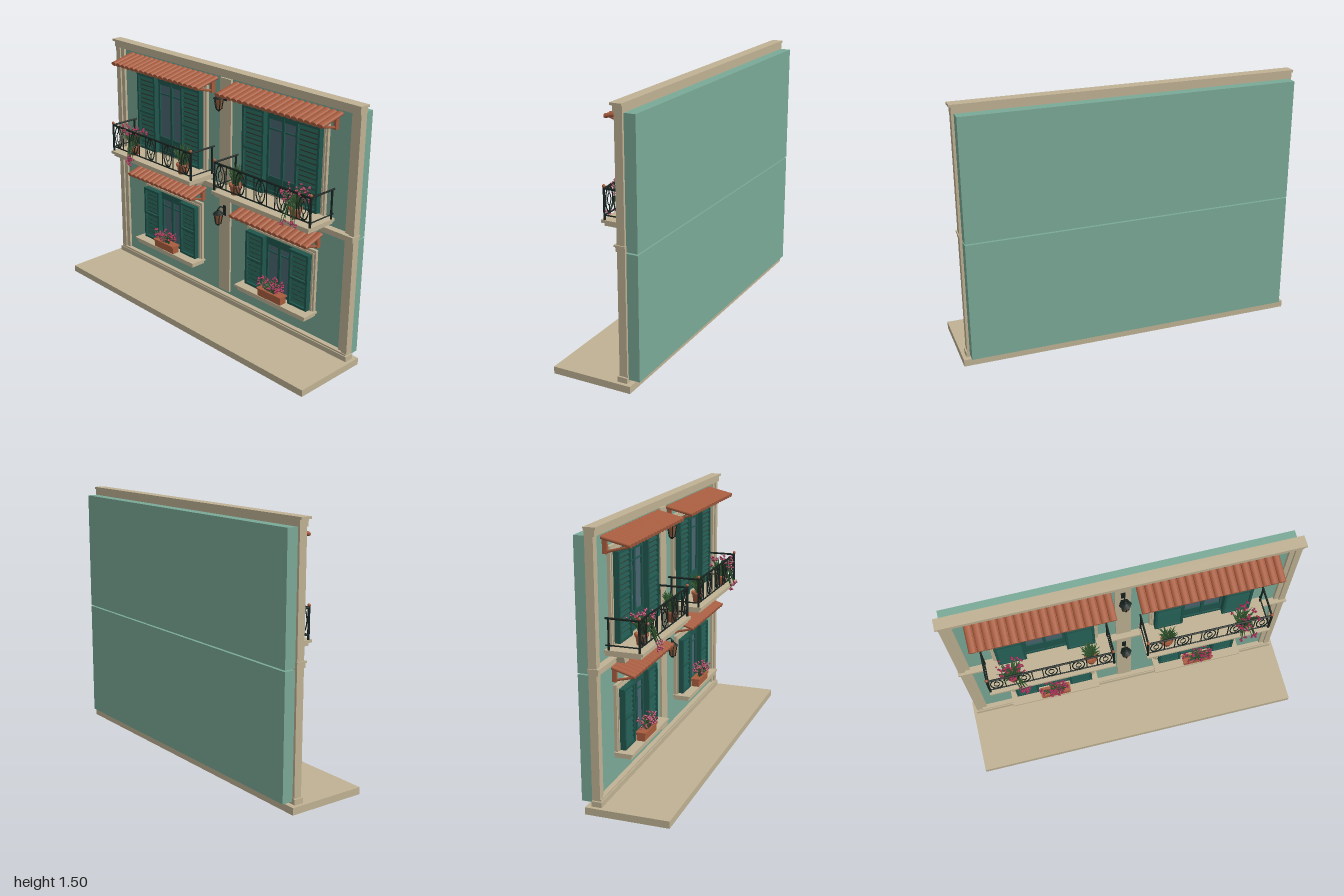
import * as THREE from 'three';
import { mergeGeometries } from 'three/addons/utils/BufferGeometryUtils.js';

const mat = (name, color, side = THREE.FrontSide) => Object.assign(new THREE.MeshStandardMaterial({ color, side }), { name });
const M = {
  wall: mat('green plaster', 0x7aa997), stone: mat('sandstone', 0xbfb193),
  clay: mat('terracotta', 0xa85c3e), teal: mat('teal paint', 0x1f564d),
  gap: mat('louvre shade', 0x3d3a31), iron: mat('wrought iron', 0x18231f),
  glass: mat('window glass', 0x4a6470), pink: mat('petals', 0xa82f58),
  leaf: mat('leaves', 0x31572f), amber: mat('lantern glass', 0x8f5b3c),
};
const V = (x, y, z) => new THREE.Vector3(x, y, z);
const UP = V(0, 1, 0);

function group(name, parent) {
  const g = new THREE.Group();
  g.name = name;
  parent.add(g);
  return g;
}
function add(parent, name, geo, material) {
  const m = new THREE.Mesh(geo, material);
  m.name = name;
  parent.add(m);
  return m;
}
// Box given by its extents
function box(parent, name, material, x0, x1, y0, y1, z0, z1) {
  const g = new THREE.BoxGeometry(x1 - x0, y1 - y0, z1 - z0);
  g.translate((x0 + x1) / 2, (y0 + y1) / 2, (z0 + z1) / 2);
  return add(parent, name, g, material);
}
// Tapered rod geometry between two points
function rod(a, b, r0, r1 = r0, sides = 6) {
  const d = b.clone().sub(a);
  const g = new THREE.CylinderGeometry(r1, r0, d.length(), sides);
  g.applyQuaternion(new THREE.Quaternion().setFromUnitVectors(UP, d.normalize()));
  return g.translate((a.x + b.x) / 2, (a.y + b.y) / 2, (a.z + b.z) / 2);
}
// Four bars around a rectangle
function frame(parent, name, material, x0, x1, y0, y1, w, z0, z1) {
  box(parent, name, material, x0, x0 + w, y0, y1, z0, z1);
  box(parent, name, material, x1 - w, x1, y0, y1, z0, z1);
  box(parent, name, material, x0 + w, x1 - w, y1 - w, y1, z0, z1);
  box(parent, name, material, x0 + w, x1 - w, y0, y0 + w, z0, z1);
}
function seeded(seed) {
  return () => (seed = (seed * 16807) % 2147483647) / 2147483647;
}

// Louvred shutter
function shutter(parent, x0, x1, y0, y1) {
  const g = group('shutter', parent), w = 0.014;
  frame(g, 'shutterFrame', M.teal, x0, x1, y0, y1, w, -0.145, -0.11);
  box(g, 'shutterBack', M.gap, x0 + w, x1 - w, y0 + w, y1 - w, -0.142, -0.128);
  const n = Math.round((y1 - y0) / 0.03), step = (y1 - y0 - 2 * w) / n;
  for (let i = 0; i < n; i++) {
    const s = add(g, 'louvre', new THREE.BoxGeometry(x1 - x0 - 2 * w, step * 0.7, 0.004), M.teal);
    s.position.set((x0 + x1) / 2, y0 + w + (i + 0.5) * step, -0.121);
    s.rotation.x = -0.5;
  }
  const mid = (y0 + y1) / 2;
  box(g, 'shutterRail', M.teal, x0 + w, x1 - w, mid - 0.007, mid + 0.007, -0.13, -0.111);
}

// Window or balcony door with surround, glazing and shutters
function opening(parent, name, { hw, y0, y1, gw, panel, transom }) {
  const g = group(name, parent);
  frame(g, 'stoneSurround', M.stone, -hw - 0.024, hw + 0.024, y0 - 0.015, y1 + 0.03, 0.032, -0.17, -0.147);
  frame(g, 'stoneMoulding', M.stone, -hw - 0.012, hw + 0.012, y0 - 0.01, y1 + 0.014, 0.012, -0.15, -0.142);
  box(g, 'glass', M.glass, -gw, gw, y0, y1, -0.17, -0.152);
  frame(g, 'sash', M.teal, -hw, hw, y0, y1, 0.02, -0.16, -0.138);
  for (const s of [-1, 1]) {
    const a = s * gw, b = s * hw;
    shutter(g, Math.min(a, b), Math.max(a, b), y0, y1);
    box(g, 'stile', M.teal, Math.min(a, a - s * 0.014), Math.max(a, a - s * 0.014), y0, y1, -0.16, -0.142);
  }
  box(g, 'mullion', M.teal, -0.009, 0.009, y0, y1, -0.16, -0.14);
  box(g, 'transom', M.teal, -gw, gw, transom - 0.004, transom + 0.004, -0.16, -0.145);
  box(g, 'headRail', M.teal, -gw, gw, y1 - 0.045, y1, -0.16, -0.142);
  if (panel) box(g, 'doorPanel', M.teal, -gw, gw, y0, panel, -0.16, -0.144);
}

// Sloping tiled canopy on wooden struts
function canopy(parent, hw, tiles, zf, yf, yb, yStrut, xs) {
  const g = group('canopy', parent), zb = -0.16;
  const len = Math.hypot(zb - zf, yb - yf), tilt = Math.atan2(yb - yf, zf - zb);
  const roof = group('tileRoof', g);
  roof.position.set(0, (yf + yb) / 2, (zf + zb) / 2);
  roof.rotation.x = tilt;
  add(roof, 'roofBoard', new THREE.BoxGeometry(2 * hw - 0.01, 0.006, len), M.clay).position.y = -0.004;
  const r = hw / tiles;
  for (let i = 0; i < tiles; i++) {
    const t = add(roof, 'tile', new THREE.CylinderGeometry(r * 0.94, r * 0.94, len, 12).rotateX(Math.PI / 2).scale(1, 0.6, 1), M.clay);
    t.position.x = -hw + r * (2 * i + 1);
  }
  for (const s of [-1, 1]) {
    add(g, 'strut', rod(V(s * xs, yStrut, -0.15), V(s * xs, yf - 0.008, zf - 0.012), 0.007, 0.007, 4), M.clay);
    box(g, 'wallPost', M.clay, s * xs - 0.008, s * xs + 0.008, yStrut - 0.01, yb - 0.01, -0.166, -0.14);
  }
}

// Fan of leaves with optional blossoms
function plant(parent, name, { x, y, z, sx, up, sz, n, flowers, trail = 0, seed }) {
  const g = group(name, parent), rnd = seeded(seed), leaves = [], petals = [];
  g.position.set(x, y, z);
  for (let i = 0; i < n; i++) {
    const a = rnd() * Math.PI * 2, k = Math.sqrt(rnd());
    const root = V((rnd() - 0.5) * sx * 0.8, 0, (rnd() - 0.5) * 0.02);
    const tip = V(Math.cos(a) * k * sx, up * (0.45 + 0.55 * rnd()), Math.sin(a) * k * sz);
    if (i < trail) tip.set((rnd() - 0.3) * sx * 1.2, -0.04 - rnd() * 0.05, sz * (0.9 + rnd() * 0.2));
    const mid = root.clone().lerp(tip, 0.55).add(V(0, i < trail ? 0.07 : 0.01, 0));
    leaves.push(rod(root, mid, 0.0015, 0.005, 4), rod(mid, tip, 0.005, 0.0008, 4));
    if (i < flowers) for (let j = 0; j < 3; j++) {
      petals.push(new THREE.OctahedronGeometry(0.0055 + rnd() * 0.003)
        .translate(tip.x + (rnd() - 0.5) * 0.018, tip.y + (rnd() - 0.5) * 0.018, tip.z + (rnd() - 0.5) * 0.018));
    }
  }
  add(g, 'foliage', mergeGeometries(leaves), M.leaf);
  if (petals.length) add(g, 'blossoms', mergeGeometries(petals), M.pink);
}
function pot(parent, x, z) {
  const pts = [[0, 0], [0.026, 0], [0.033, 0.048], [0.038, 0.048], [0.038, 0.062], [0.031, 0.062], [0.03, 0.054], [0, 0.054]];
  add(parent, 'flowerPot', new THREE.LatheGeometry(pts.map(p => new THREE.Vector2(...p)), 16), M.clay).position.set(x, 0.842, z);
}

// Balcony slab, brackets and iron railing
function balcony(parent) {
  const g = group('balcony', parent), hw = 0.365, zf = 0.027, top = 1.01, low = 0.868;
  box(g, 'balconySlab', M.stone, -hw, hw, 0.826, 0.842, -0.17, 0.046);
  box(g, 'slabMoulding', M.stone, -hw + 0.012, hw - 0.012, 0.808, 0.826, -0.17, 0.032);
  for (const s of [-1, 1]) {
    const shape = new THREE.Shape([[-0.045, 0.808], [-0.026, 0.755], [0.026, 0.755], [0.045, 0.808]].map(p => new THREE.Vector2(...p)));
    add(g, 'bracket', new THREE.ExtrudeGeometry(shape, { depth: 0.08, bevelEnabled: false }), M.stone).position.set(s * 0.26, 0, -0.165);
  }
  const bars = [], bar = (x0, y0, z0, x1, y1, z1, r) => bars.push(rod(V(x0, y0, z0), V(x1, y1, z1), r));
  const px = hw - 0.007;
  for (const [y, r] of [[top, 0.006], [low, 0.004]]) {
    bar(-px, y, zf, px, y, zf, r);
    for (const s of [-1, 1]) bar(s * px, y, zf, s * px, y, -0.16, r);
  }
  for (const s of [-1, 1]) {
    bar(s * px, 0.842, zf, s * px, top + 0.008, zf, 0.007);
    bar(s * px, 0.842, -0.142, s * px, top, -0.142, 0.006);
    add(g, 'finial', new THREE.SphereGeometry(0.009, 10, 8), M.clay).position.set(s * px, top + 0.013, zf);
  }
  // Oval rings with small collars, framed by upright bars
  for (let i = -2; i <= 2; i++) {
    const x = i * 0.155, cy = (top + low) / 2;
    for (const [rx, ry] of [[0.034, 0.066], [0.015, 0.032]])
      bars.push(new THREE.TorusGeometry(1, 0.09, 5, 20).scale(rx, ry, 0.035).translate(x, cy, zf));
    for (const s of [-1, 1]) {
      bar(x + s * 0.047, low, zf, x + s * 0.047, top, zf, 0.003);
      bar(x, cy + s * 0.032, zf, x, cy + s * 0.07, zf, 0.003);
    }
  }
  add(g, 'ironRailing', mergeGeometries(bars), M.iron);
}

// Wall lantern on a curved arm
function lantern(parent, y) {
  const g = group('lantern', parent), sq = Math.PI / 6;
  g.position.set(0, y, -0.1);
  add(g, 'lanternGlass', new THREE.CylinderGeometry(0.027, 0.016, 0.062, 6).rotateY(sq), M.amber).position.y = -0.01;
  add(g, 'lanternRoof', new THREE.CylinderGeometry(0.008, 0.035, 0.022, 6).rotateY(sq), M.iron).position.y = 0.032;
  add(g, 'lanternCap', new THREE.SphereGeometry(0.009, 8, 6), M.iron).position.y = 0.046;
  add(g, 'lanternFoot', new THREE.CylinderGeometry(0.018, 0.007, 0.014, 6).rotateY(sq), M.iron).position.y = -0.047;
  const ribs = [];
  for (let i = 0; i < 6; i++) {
    const a = i * Math.PI / 3 + sq, c = Math.cos(a), s = Math.sin(a);
    ribs.push(rod(V(c * 0.017, -0.042, s * 0.017), V(c * 0.028, 0.022, s * 0.028), 0.003));
  }
  add(g, 'lanternRibs', mergeGeometries(ribs), M.iron);
  const arm = new THREE.CatmullRomCurve3([V(0, 0.045, 0), V(0, 0.062, -0.012), V(0, 0.055, -0.03), V(0, 0.03, -0.055)]);
  add(g, 'lanternArm', new THREE.TubeGeometry(arm, 12, 0.004, 6), M.iron);
  box(g, 'lanternPlate', M.iron, -0.012, 0.012, -0.005, 0.06, -0.06, -0.05);
}

export function createModel() {
  const root = new THREE.Group();
  root.name = 'townhouseFacade';

  // Pavement, wall panels and stone framework
  box(root, 'pavement', M.stone, -1, 1, 0, 0.04, -0.215, 0.25);
  box(root, 'lowerWall', M.wall, -0.96, 0.96, 0.055, 0.748, -0.25, -0.165);
  box(root, 'upperWall', M.wall, -0.96, 0.96, 0.756, 1.455, -0.25, -0.165);
  for (const [y0, y1, hw, z] of [[0.04, 0.07, 0.98, -0.13], [0.07, 0.08, 0.97, -0.136], [0.755, 0.78, 0.975, -0.132],
    [0.78, 0.79, 0.98, -0.125], [1.455, 1.49, 0.975, -0.132], [1.49, 1.503, 0.985, -0.122]])
    box(root, 'stoneBand', M.stone, -hw, hw, y0, y1, -0.187, z);
  for (const s of [-1, 1]) {
    const p = box(root, 'cornerPilaster', M.stone, -0.018, 0.018, 0.08, 1.455, -0.185, -0.14);
    p.position.x = s * 0.956;
    box(root, 'pilasterStep', M.stone, -0.016, 0.016, 0.08, 1.455, -0.185, -0.15).position.x = s * 0.925;
  }
  box(root, 'lowerPilaster', M.stone, -0.045, 0.045, 0.1, 0.735, -0.17, -0.152);
  box(root, 'upperPilaster', M.stone, -0.045, 0.045, 0.805, 1.44, -0.17, -0.152);
  lantern(root, 1.315);
  lantern(root, 0.605);

  // Two matching bays
  for (const s of [-1, 1]) {
    const bay = group(s > 0 ? 'leftBay' : 'rightBay', root);
    bay.position.x = s * 0.457;
    opening(bay, 'balconyDoor', { hw: 0.282, y0: 0.855, y1: 1.337, gw: 0.117, panel: 0.96, transom: 1.235 });
    canopy(bay, 0.392, 18, -0.002, 1.392, 1.428, 1.348, 0.352);
    balcony(bay);
    opening(bay, 'lowerWindow', { hw: 0.24, y0: 0.245, y1: 0.588, gw: 0.1, transom: 0.5 });
    canopy(bay, 0.298, 14, -0.028, 0.685, 0.724, 0.65, 0.268);
    box(bay, 'sill', M.stone, -0.276, 0.276, 0.23, 0.242, -0.17, -0.058);
    box(bay, 'sillMoulding', M.stone, -0.262, 0.262, 0.208, 0.23, -0.17, -0.068);

    // Window box and balcony pots
    box(bay, 'windowBox', M.clay, -0.088, 0.088, 0.242, 0.282, -0.11, -0.062);
    box(bay, 'windowBoxRim', M.clay, -0.093, 0.093, 0.282, 0.292, -0.114, -0.056);
    plant(bay, 'boxFlowers', { x: 0, y: 0.288, z: -0.078, sx: 0.095, up: 0.07, sz: 0.045, n: 70, flowers: 42, seed: 11 + s });
    pot(bay, s * 0.215, -0.02);
    plant(bay, 'floweringPlant', { x: s * 0.215, y: 0.897, z: -0.015, sx: 0.09, up: 0.125, sz: 0.075, n: 60, flowers: 34, trail: 8, seed: 23 + s });
    pot(bay, s * -0.235, -0.02);
    plant(bay, 'leafyPlant', { x: s * -0.235, y: 0.897, z: -0.02, sx: 0.06, up: 0.12, sz: 0.06, n: 50, flowers: 0, seed: 37 + s });
  }
  return root;
}
